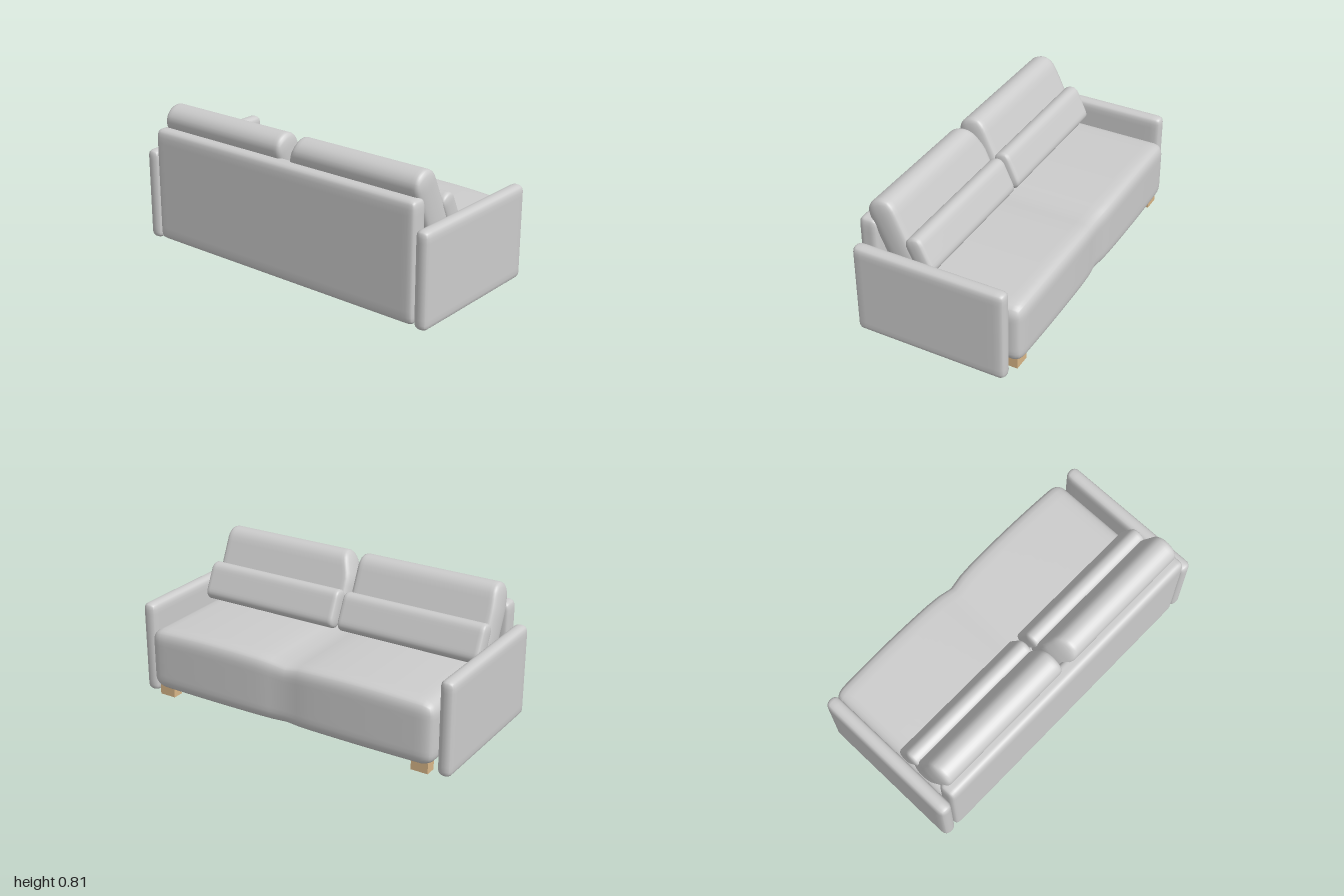
import * as THREE from 'three';
import { mergeVertices } from 'three/addons/utils/BufferGeometryUtils.js';

const fabric = new THREE.MeshStandardMaterial({ color: 0xcccccc });
const wood = new THREE.MeshStandardMaterial({ color: 0xd9b688 });

// Upholstered block: size, edge radius per axis, optional deformation rule
function softBlock(name, size, radius, deform) {
  const geo = new THREE.BoxGeometry(2, 2, 2, 18, 18, 32);
  geo.deleteAttribute('uv');
  geo.deleteAttribute('normal');
  const pos = geo.attributes.position;
  const p = new THREE.Vector3();
  const core = new THREE.Vector3();
  for (let i = 0; i < pos.count; i++) {
    p.fromBufferAttribute(pos, i);
    const dir = new THREE.Vector3();
    for (let a = 0; a < 3; a++) {
      const half = size[a] / 2, inner = half - radius[a];
      // crowd the grid lines towards the rounded edges
      const q = Math.sin(p.getComponent(a) * Math.PI / 2) * half;
      core.setComponent(a, THREE.MathUtils.clamp(q, -inner, inner));
      dir.setComponent(a, (q - core.getComponent(a)) / radius[a]);
    }
    if (dir.lengthSq() > 0) dir.normalize();
    p.set(core.x + dir.x * radius[0], core.y + dir.y * radius[1], core.z + dir.z * radius[2]);
    if (deform) deform(p);
    pos.setXYZ(i, p.x, p.y, p.z);
  }
  const smooth = mergeVertices(geo, 1e-5);
  smooth.computeVertexNormals();
  const mesh = new THREE.Mesh(smooth, fabric);
  mesh.name = name;
  return mesh;
}

export function createModel() {
  const sofa = new THREE.Group();
  sofa.name = 'sofa';
  const add = (mesh, x, y, z, tilt = 0) => {
    mesh.position.set(x, y, z);
    mesh.rotation.z = tilt;
    sofa.add(mesh);
  };

  // Seat: two crowned halves with a soft valley between them
  const seat = softBlock('seat', [0.87, 0.38, 1.83], [0.055, 0.075, 0.075], (p) => {
    const valley = Math.exp(-((p.z / 0.07) ** 2));
    const crown = ((Math.abs(p.z) - 0.45) / 0.45) ** 2;
    const up = THREE.MathUtils.clamp((p.y + 0.19) / 0.38, 0, 1);
    p.y -= up * (0.018 * crown + 0.015 * valley);
    if (p.x > 0) p.x -= (p.x / 0.435) * (0.008 * crown + 0.012 * valley);
  });
  add(seat, 0.04, 0.245, 0);

  // Back panel, reaching down to the floor
  add(softBlock('backPanel', [0.11, 0.675, 1.83], [0.035, 0.045, 0.03]), -0.425, 0.3475, 0);

  for (const side of [1, -1]) {
    const label = side > 0 ? 'Left' : 'Right';

    // Slab armrests
    add(softBlock('arm' + label, [0.9, 0.545, 0.084], [0.035, 0.035, 0.04]),
      -0.03, 0.2735, side * 0.958);

    // Leaning back cushions; one has its upper inner corner pulled in
    const backCushion = softBlock('backCushion' + label, [0.17, 0.42, 0.9], [0.08, 0.085, 0.03], (p) => {
      const rise = THREE.MathUtils.clamp((p.y - 0.05) / 0.15, 0, 1);
      if (side > 0 && p.z < 0) p.z += 0.055 * rise * Math.min(1, -p.z / 0.4);
      if (side < 0 && p.z < 0) p.z += 0.015 * rise * Math.min(1, -p.z / 0.4);
    });
    add(backCushion, -0.289, 0.612, side * 0.457, 0.43);

    // Low lumbar pillows in front
    add(softBlock('lumbarPillow' + label, [0.105, 0.225, 0.895], [0.048, 0.05, 0.02]),
      -0.128, 0.532, side * 0.46, 0.44);

    // Short wooden front feet
    const foot = new THREE.Mesh(new THREE.BoxGeometry(0.065, 0.065, 0.1), wood);
    foot.name = 'frontFoot' + label;
    add(foot, 0.403, 0.0405, side * 0.83);
  }
  return sofa;
}
